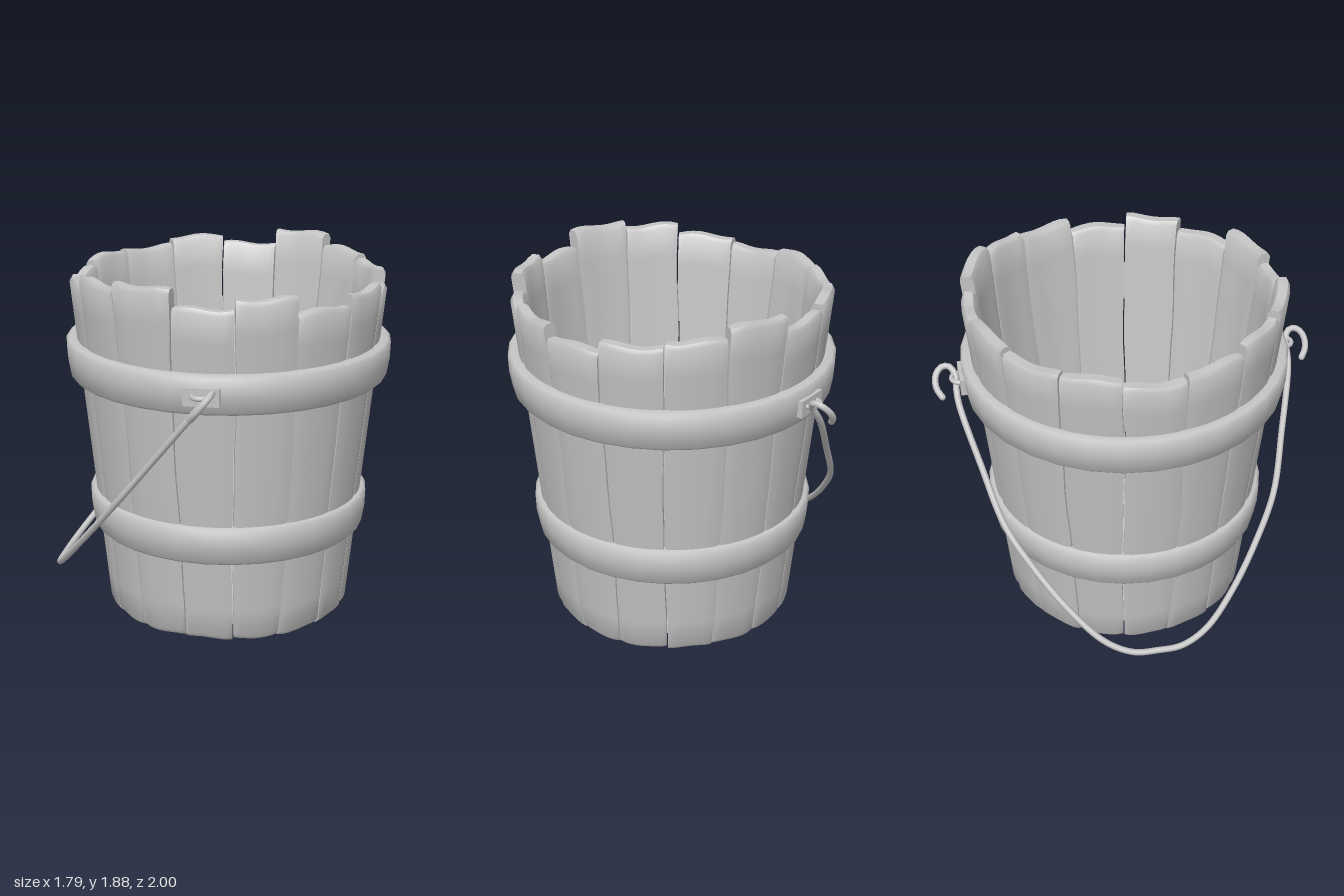
import * as THREE from 'three';
import { toCreasedNormals } from 'three/addons/utils/BufferGeometryUtils.js';

const CX = 0.045; // bucket axis
const STAVES = 16, STEP = (Math.PI * 2) / STAVES;
const BASE = 0.065;
const outerRadius = (y) => 0.642 + 0.102 * (y - BASE);

// Top height of each stave, starting at the front and turning towards +x
const HEIGHTS = [1.845, 1.89, 1.81, 1.85, 1.8, 1.85, 1.88, 1.935,
  1.85, 1.89, 1.85, 1.86, 1.82, 1.85, 1.9, 1.93];

// Small wobble along the seam between two staves
const seam = (k, y) => 0.008 * Math.sin(y * 4 + k * 2.3) + 0.004 * Math.sin(y * 11 + k * 5.1);

function staveGeometry(i) {
  const rows = 14, top = HEIGHTS[i];
  const geo = new THREE.BoxGeometry(1, 1, 1, 8, rows, 1);
  const p = geo.attributes.position;
  for (let n = 0; n < p.count; n++) {
    const u = p.getX(n) + 0.5, w = p.getZ(n);
    const row = Math.round((p.getY(n) + 0.5) * rows);
    // the first and last rows form a narrow bevel
    const v = row === 0 ? 0 : row === rows ? 1 : 0.012 + 0.976 * (row - 1) / (rows - 2);
    const rim = row === 0 || row === rows;
    const wave = Math.sin(u * 5 + i * 1.9);
    const y = THREE.MathUtils.lerp(BASE + 0.006 * wave, top + 0.009 * Math.sin(u * 6 + i * 2.7), v);
    const a0 = (i - 0.5) * STEP + seam(i, y) + 0.005;
    const a1 = (i + 0.5) * STEP + seam((i + 1) % STAVES, y) - 0.005;
    const a = THREE.MathUtils.lerp(a0, a1, u);
    const half = rim ? 0.024 : 0.039;
    const edge = (u < 0.01 || u > 0.99) ? 0.005 : 0;
    const r = outerRadius(y) - 0.039 + Math.sign(w) * (half - edge);
    p.setXYZ(n, CX + r * Math.sin(a), y, r * Math.cos(a));
  }
  return toCreasedNormals(geo, 0.75);
}

// Hoop: a tapered ring with softened edges
function hoopGeometry(y0, y1, r0, r1) {
  const b = 0.014, t = 0.06;
  const pts = [
    [r0 - t, y0], [r0 - b, y0], [r0, y0 + b], [(r0 + r1) / 2 + 0.006, (y0 + y1) / 2],
    [r1, y1 - b], [r1 - b, y1], [r1 - t, y1], [r0 - t, y0],
  ].map(([r, y]) => new THREE.Vector2(r, y));
  return toCreasedNormals(new THREE.LatheGeometry(pts, 32), 0.9);
}

// Floor plank: a strip of a disc with slightly wavy long edges
function plankGeometry(x0, x1, R, k) {
  const shape = new THREE.Shape();
  const N = 14, pts = [];
  const side = (x, sign, phase) => {
    const z = Math.sqrt(Math.max(0, R * R - x * x));
    for (let j = 0; j <= N; j++) {
      const s = sign * (-z + (2 * z * j) / N);
      const wob = Math.abs(x) >= R ? 0 : 0.006 * Math.sin(s * 6 + phase * 2);
      pts.push(new THREE.Vector2(x + wob, s));
    }
  };
  const arc = (from, to, sign) => {
    for (let j = 1; j < 8; j++) {
      const x = THREE.MathUtils.lerp(from, to, j / 8);
      pts.push(new THREE.Vector2(x, sign * Math.sqrt(R * R - x * x)));
    }
  };
  side(x1, 1, k + 1);
  arc(x1, x0, 1);
  side(x0, -1, k);
  arc(x0, x1, -1);
  shape.setFromPoints(pts);
  const geo = new THREE.ExtrudeGeometry(shape, { depth: 0.05, bevelEnabled: false });
  return geo.rotateX(-Math.PI / 2);
}

export function createModel() {
  const model = new THREE.Group();
  model.name = 'bucket';
  const grey = new THREE.MeshStandardMaterial({ color: 0xc4c4c4 });
  grey.name = 'plain grey';

  const add = (parent, name, geo, x = 0, y = 0, z = 0) => {
    const mesh = new THREE.Mesh(geo, grey);
    mesh.name = name;
    mesh.position.set(x, y, z);
    parent.add(mesh);
    return mesh;
  };
  const group = (name) => {
    const g = new THREE.Group();
    g.name = name;
    model.add(g);
    return g;
  };

  // Wall of staves
  const wall = group('staves');
  for (let i = 0; i < STAVES; i++) add(wall, 'stave', staveGeometry(i));

  // Floor planks
  const floor = group('floor');
  const R = 0.59, cuts = [-R, -0.42, -0.145, 0.125, 0.395, R];
  for (let k = 0; k < 5; k++) {
    const x0 = cuts[k] + (k > 0 ? 0.005 : 0), x1 = cuts[k + 1] - (k < 4 ? 0.005 : 0);
    add(floor, 'floorPlank', plankGeometry(x0, x1, R, k), CX, 0.13, 0);
  }

  // Hoops
  add(model, 'upperHoop', hoopGeometry(1.33, 1.53, 0.83, 0.848), CX);
  add(model, 'lowerHoop', hoopGeometry(0.51, 0.71, 0.722, 0.74), CX);

  // Plates and eyes that hold the handle
  for (const s of [1, -1]) {
    const mount = group(s > 0 ? 'frontMount' : 'backMount');
    add(mount, 'mountPlate', new THREE.BoxGeometry(0.18, 0.09, 0.03), CX + 0.005, 1.43, s * 0.846);
    const eye = add(mount, 'mountEye',
      new THREE.TorusGeometry(0.045, 0.013, 8, 16, Math.PI), CX + 0.005, 1.435, s * 0.855);
    eye.rotation.x = s * Math.PI / 2;
  }

  // Wire handle with curled ends, lying in one slanted plane: [distance, z]
  const half = [[0.1, 0.955], [0.07, 0.98], [0.03, 0.978], [0.004, 0.945], [0.004, 0.905],
    [0.035, 0.877], [0.08, 0.88], [0.13, 0.875], [0.33, 0.8], [0.53, 0.715], [0.68, 0.59],
    [0.83, 0.43], [0.94, 0.27], [0.985, 0.13]];
  const at = (t, z) => new THREE.Vector3(0.115 - t, 1.475 - 1.265 * t, z);
  const points = [
    ...half.map(([t, z]) => at(t, z)), at(0.99, 0),
    ...half.slice().reverse().map(([t, z]) => at(t, -z)),
  ];
  const handle = group('handle');
  add(handle, 'handleWire',
    new THREE.TubeGeometry(new THREE.CatmullRomCurve3(points), 200, 0.017, 8));
  for (const end of [points[0], points[points.length - 1]])
    add(handle, 'handleTip', new THREE.SphereGeometry(0.017, 8, 6), end.x, end.y, end.z);

  return model;
}
